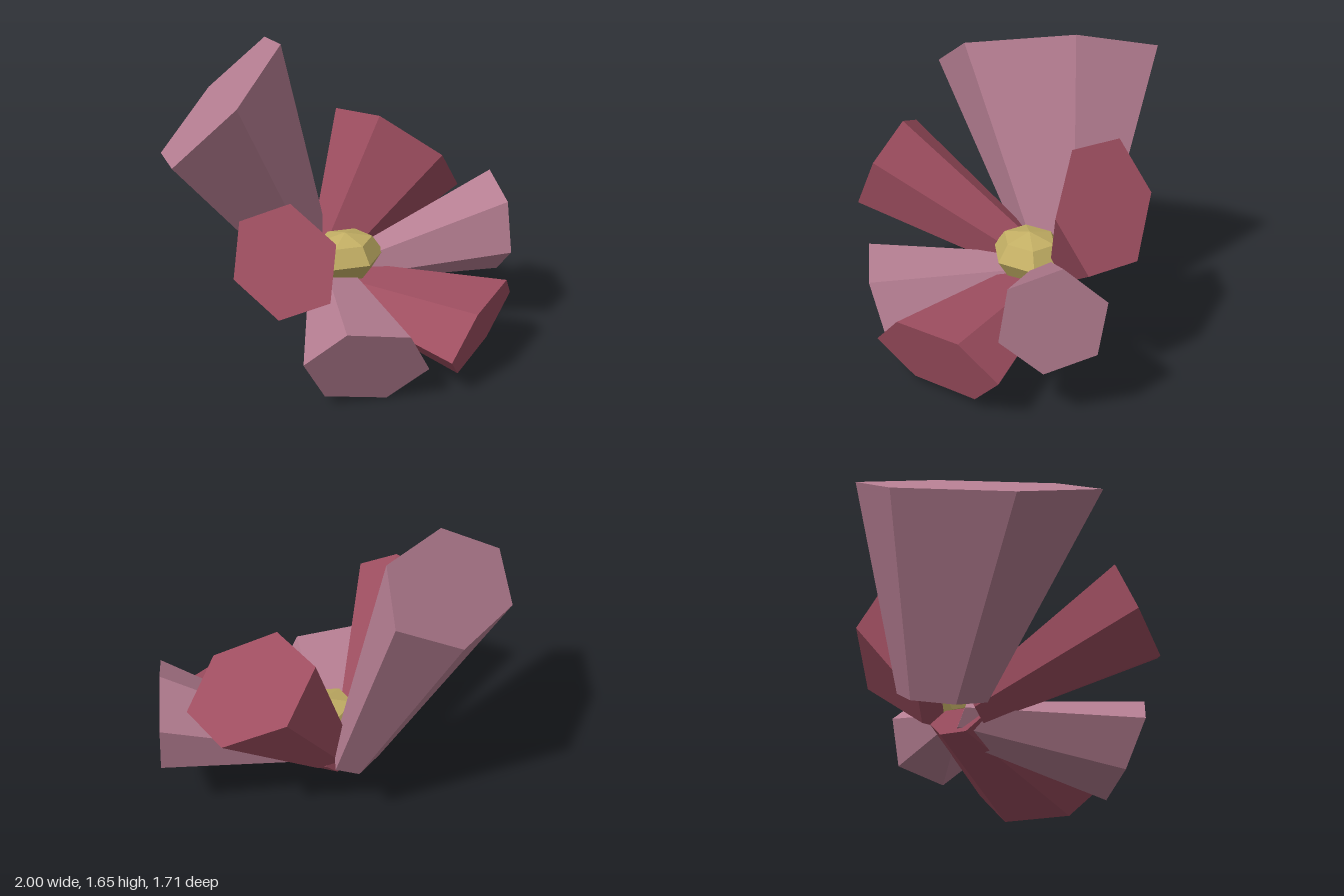
import * as THREE from 'three';

const pink = new THREE.MeshStandardMaterial({ color: 0xb47d91, flatShading: true });
const red = new THREE.MeshStandardMaterial({ color: 0x9e4e60, flatShading: true });
const yellow = new THREE.MeshStandardMaterial({ color: 0xc4b065, flatShading: true });

// Each petal: tip centre, two neighbouring spokes of its hexagonal tip,
// root centre, and the size of the root relative to the tip.
const petals = [
  { name: 'backPetal', material: pink, tip: [-0.415, 1.436, -0.468], a: [-0.585, -0.156, 0.343], b: [-0.21, 0.072, 0.388], root: [0.035, 0.433, -0.303], scale: 0.37 },
  { name: 'backLeftPetal', material: red, tip: [0.601, 0.995, -0.163], a: [-0.206, 0.245, 0.062], b: [-0.235, 0.22, -0.262], root: [0.18, 0.461, -0.234], scale: 0.36 },
  { name: 'leftPetal', material: pink, tip: [0.881, 0.616, 0.339], a: [0.008, 0.288, -0.049], b: [0.119, 0.094, -0.241], root: [0.24, 0.415, -0.065], scale: 0.37 },
  { name: 'frontLeftPetal', material: red, tip: [0.379, 0.252, 0.718], a: [0.204, 0.204, -0.015], b: [0.387, 0.027, -0.135], root: [0.05, 0.339, -0.196], scale: 0.38 },
  { name: 'frontRightPetal', material: pink, tip: [-0.382, 0.249, 0.614], a: [-0.148, 0.238, 0.006], b: [0.147, 0.179, 0.161], root: [0.07, 0.36, -0.15], scale: 0.38 },
  { name: 'rightPetal', material: red, tip: [-0.723, 0.865, 0.381], a: [0.093, 0.263, -0.059], b: [-0.083, 0.165, -0.238], root: [-0.05, 0.4, -0.14], scale: 0.37 },
];

// Closed six-sided frustum, from the small root to the wide tip
function petalGeometry({ tip, a, b, root, scale }) {
  const [t, u, v, r] = [tip, a, b, root].map((p) => new THREE.Vector3(...p));
  const w = v.clone().sub(u);
  const spokes = [u, v, w];
  for (const s of [u, v, w]) spokes.push(s.clone().negate());

  // keep the corners counter-clockwise around the petal axis
  if (u.clone().cross(v).dot(t.clone().sub(r)) < 0) spokes.reverse();

  const outer = spokes.map((s) => t.clone().add(s));
  const inner = spokes.map((s) => r.clone().addScaledVector(s, scale));
  const points = [];
  for (let i = 0; i < 6; i++) {
    const j = (i + 1) % 6;
    points.push(t, outer[i], outer[j]);
    points.push(r, inner[j], inner[i]);
    points.push(inner[i], inner[j], outer[j], inner[i], outer[j], outer[i]);
  }
  const geometry = new THREE.BufferGeometry().setFromPoints(points);
  geometry.computeVertexNormals();
  return geometry;
}

export function createModel() {
  const flower = new THREE.Group();
  flower.name = 'flower';

  for (const petal of petals) {
    const mesh = new THREE.Mesh(petalGeometry(petal), petal.material);
    mesh.name = petal.name;
    flower.add(mesh);
  }

  // Flattened faceted centre
  const geometry = new THREE.SphereGeometry(0.2, 6, 4);
  geometry.rotateY(Math.PI / 6);
  geometry.scale(1.15, 0.68, 1);
  const center = new THREE.Mesh(geometry, yellow);
  center.name = 'flowerCenter';
  center.position.set(0.085, 0.51, -0.05);
  flower.add(center);

  return flower;
}
